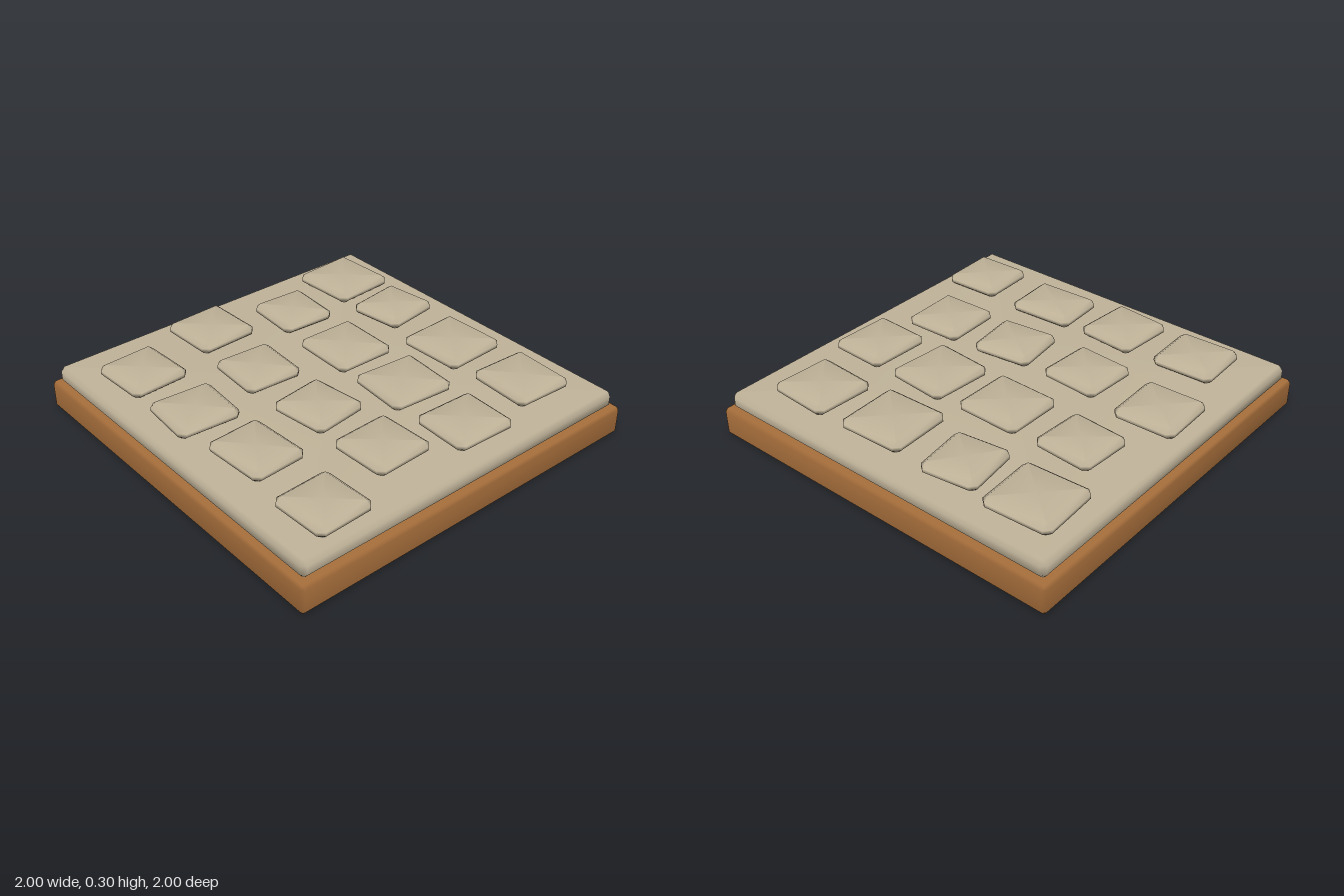
import * as THREE from 'three';

// Box with chamfered edges and corners, smooth-shaded; c is the chamfer across, e its height
function chamferBox(w, h, d, c, e = c) {
  const pos = [], idx = [];
  const x = w / 2, z = d / 2;
  const layers = [[0, 0.9 * c], [e, 0], [h - e, 0], [h, 0.9 * c]];
  for (const [y, inset] of layers) {
    const a = x - inset, b = z - inset, p = x - c, q = z - c;
    // counter-clockwise as seen from above
    for (const [px, pz] of [[a, q], [a, -q], [p, -b], [-p, -b], [-a, -q], [-a, q], [-p, b], [p, b]]) {
      pos.push(px, y, pz);
    }
  }
  for (let l = 0; l < layers.length - 1; l++) {
    for (let i = 0; i < 8; i++) {
      const a = l * 8 + i, b = l * 8 + (i + 1) % 8;
      idx.push(a, b, b + 8, a, b + 8, a + 8);
    }
  }
  // bottom and top caps
  pos.push(0, 0, 0, 0, h, 0);
  for (let i = 0; i < 8; i++) {
    const j = (i + 1) % 8;
    idx.push(32, j, i, 33, 24 + i, 24 + j);
  }
  const g = new THREE.BufferGeometry();
  g.setAttribute('position', new THREE.Float32BufferAttribute(pos, 3));
  g.setIndex(idx);
  g.computeVertexNormals();
  return g;
}

// Cobbles: centre x, centre z, width, depth, turn in degrees
const STONES = [
  [-0.70, -0.68, 0.36, 0.345, 3.2], [-0.295, -0.68, 0.30, 0.315, 7.5],
  [0.17, -0.66, 0.36, 0.35, 2], [0.63, -0.675, 0.345, 0.33, -3],
  [-0.60, -0.24, 0.315, 0.30, -3.5], [-0.15, -0.22, 0.35, 0.33, -1],
  [0.285, -0.215, 0.335, 0.35, -4.5], [0.71, -0.205, 0.315, 0.34, -2],
  [-0.73, 0.20, 0.33, 0.33, 2], [-0.27, 0.245, 0.32, 0.31, -3.5],
  [0.175, 0.23, 0.32, 0.305, 7], [0.60, 0.21, 0.32, 0.325, 2],
  [-0.61, 0.695, 0.33, 0.315, 2.5], [-0.17, 0.695, 0.315, 0.33, -4.5],
  [0.265, 0.665, 0.355, 0.295, 3], [0.75, 0.68, 0.315, 0.31, 2],
];

export function createModel() {
  const earth = new THREE.MeshStandardMaterial({ name: 'earthBrown', color: 0xa9703c });
  const stone = new THREE.MeshStandardMaterial({ name: 'paleStone', color: 0xc2b59b });
  const model = new THREE.Group();
  model.name = 'cobbledTile';

  const add = (parent, name, geometry, material, x, y, z) => {
    const m = new THREE.Mesh(geometry, material);
    m.name = name;
    m.position.set(x, y, z);
    parent.add(m);
    return m;
  };

  // earth base and the stone slab on it
  add(model, 'earthBase', chamferBox(2, 0.15, 2, 0.015), earth, 0, 0, 0);
  add(model, 'stoneSlab', chamferBox(1.935, 0.09, 1.935, 0.022), stone, 0, 0.148, 0);

  // raised cobbles in four staggered rows
  const cobbles = new THREE.Group();
  cobbles.name = 'cobbles';
  model.add(cobbles);
  STONES.forEach(([x, z, w, d, turn], i) => {
    const m = add(cobbles, 'cobble' + (i + 1), chamferBox(w, 0.062, d, 0.03, 0.022), stone, x, 0.236, z);
    m.rotation.y = THREE.MathUtils.degToRad(turn);
  });

  return model;
}
